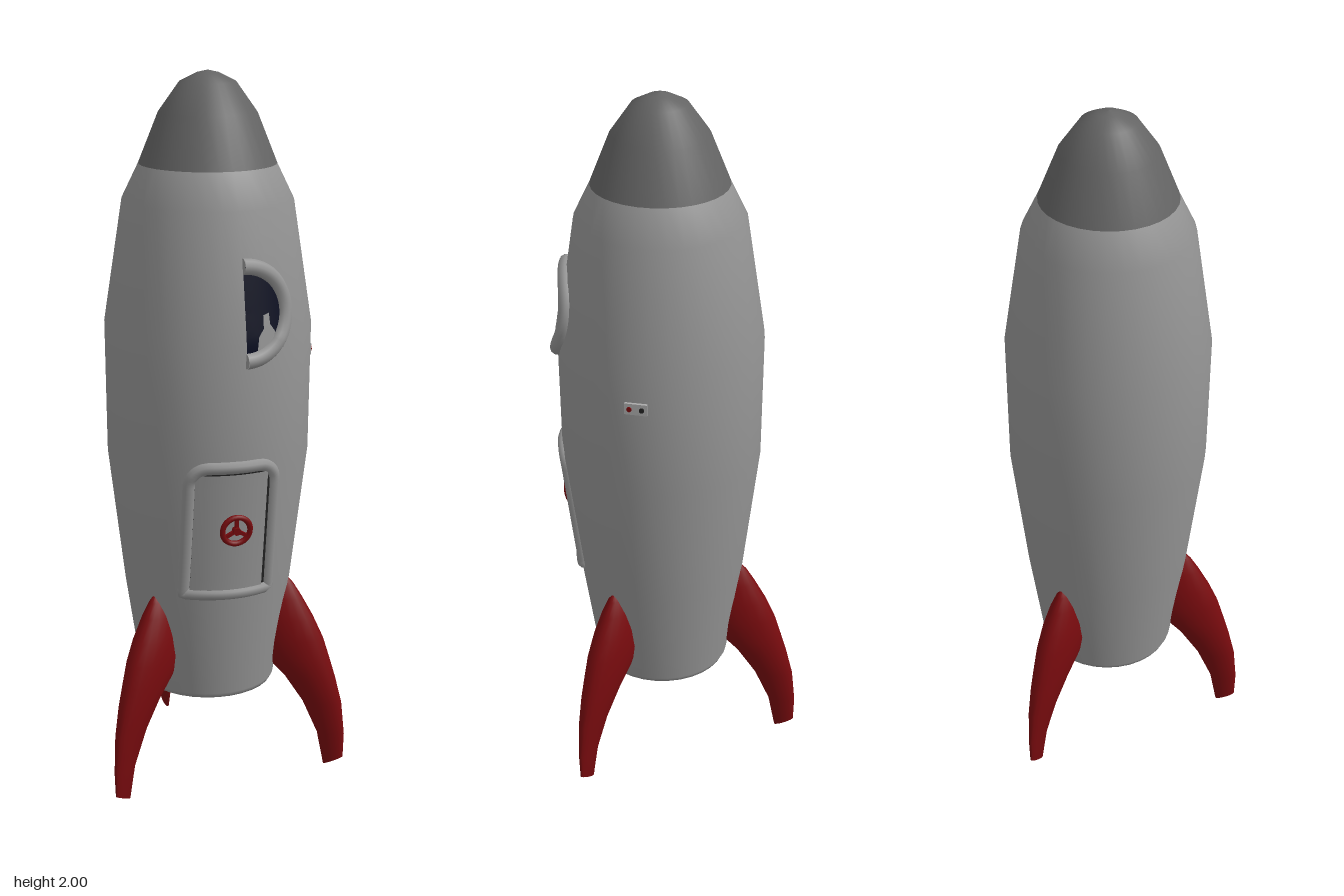
import * as THREE from 'three';

const AXIS_Z = 0.05; // the hull axis sits slightly forward of the origin
const HULL = [[0.192, 0.285], [0.236, 0.58], [0.281, 0.96], [0.285, 1.32], [0.233, 1.66], [0.187, 1.755]];

const mat = (color, side = THREE.FrontSide) => new THREE.MeshStandardMaterial({ color, side });
const grey = mat(0x959595);
const greyThin = mat(0x959595, THREE.DoubleSide);
const lightGrey = mat(0xaaaaaa);
const darkGrey = mat(0x646464);
const red = mat(0x780b0e);
const redThin = mat(0x780b0e, THREE.DoubleSide);
const navy = mat(0x070b20, THREE.DoubleSide);
const black = mat(0x222222, THREE.DoubleSide);

function add(parent, name, geometry, material) {
  const mesh = new THREE.Mesh(geometry, material);
  mesh.name = name;
  parent.add(mesh);
  return mesh;
}

// Hull radius at a height, linear between the profile points
function hullRadius(y) {
  const i = Math.max(1, HULL.findIndex(p => y <= p[1]));
  const [r0, y0] = HULL[i - 1], [r1, y1] = HULL[i];
  return r0 + (r1 - r0) * (y - y0) / (y1 - y0);
}

// Point on the front of the hull, raised by off
function onHull(x, y, off) {
  const r = hullRadius(y) + off;
  return new THREE.Vector3(x, y, AXIS_Z + Math.sqrt(r * r - x * x));
}

// Wraps a flat geometry around the hull
function wrap(geometry, cx, cy, off) {
  const p = geometry.attributes.position;
  for (let i = 0; i < p.count; i++) {
    const v = onHull(p.getX(i) + cx, p.getY(i) + cy, off);
    p.setXYZ(i, v.x, v.y, v.z);
  }
  geometry.computeVertexNormals();
  return geometry;
}

function lathe(points) {
  const g = new THREE.LatheGeometry(points.map(([r, y]) => new THREE.Vector2(r, y)), 32);
  return g.translate(0, 0, AXIS_Z);
}

// Curved fin from elliptical sections: [y, inner radius, outer radius, half width]
function finGeometry() {
  const rows = [
    [0, 0.345, 0.402, 0.009], [0.1, 0.325, 0.404, 0.017], [0.2, 0.28, 0.394, 0.03],
    [0.28, 0.225, 0.374, 0.042], [0.34, 0.165, 0.356, 0.049], [0.4, 0.13, 0.337, 0.053],
    [0.46, 0.13, 0.309, 0.049], [0.52, 0.14, 0.275, 0.037], [0.56, 0.16, 0.25, 0.022], [0.58, 0.2, 0.232, 0.006],
  ];
  const n = 20, pos = [], idx = [];
  rows.forEach(([y, inner, outer, w], k) => {
    const c = (inner + outer) / 2, a = (outer - inner) / 2;
    for (let j = 0; j < n; j++) {
      const t = j / n * Math.PI * 2;
      const tilt = k === 0 ? 0.013 * (1 + Math.cos(t)) : 0;
      pos.push(w * Math.sin(t), y + tilt, c + a * Math.cos(t));
      const j2 = (j + 1) % n;
      if (k > 0) {
        const b0 = (k - 1) * n + j, b1 = (k - 1) * n + j2, t0 = k * n + j, t1 = k * n + j2;
        idx.push(b0, b1, t1, b0, t1, t0);
      }
    }
  });
  // Close the foot and the tip
  const top = (rows.length - 1) * n;
  for (let j = 1; j < n - 1; j++) idx.push(0, j + 1, j, top, top + j, top + j + 1);
  const g = new THREE.BufferGeometry();
  g.setAttribute('position', new THREE.Float32BufferAttribute(pos, 3));
  g.setIndex(idx);
  g.computeVertexNormals();
  return g;
}

function createWindow() {
  const group = new THREE.Group();
  group.name = 'window';
  const cy = 1.395, radius = 0.123, tube = 0.022;
  add(group, 'windowPane', wrap(new THREE.RingGeometry(0.001, radius, 20, 6, -Math.PI / 2, Math.PI), 0, cy, 0.003), navy);
  // Half round frame
  const pts = [];
  for (let i = 0; i <= 24; i++) {
    const a = -Math.PI / 2 + Math.PI * i / 24;
    pts.push(onHull(radius * Math.cos(a), cy + radius * Math.sin(a), 0));
  }
  add(group, 'windowFrame', new THREE.TubeGeometry(new THREE.CatmullRomCurve3(pts), 40, tube, 10), grey);
  for (const end of [pts[0], pts[24]]) {
    const cap = add(group, 'windowFrameEnd', new THREE.CircleGeometry(tube, 10), greyThin);
    cap.position.copy(end);
    cap.rotation.y = -Math.PI / 2;
  }
  // Pale glint in the lower part of the pane
  const glint = new THREE.Shape([[0.03, -0.1], [0.075, -0.085], [0.085, -0.05], [0.07, -0.03], [0.068, 0], [0.05, -0.005],
    [0.05, -0.04], [0.035, -0.06]].map(([x, y]) => new THREE.Vector2(x, y)));
  add(group, 'windowGlint', wrap(new THREE.ShapeGeometry(glint), 0, cy, 0.007), greyThin);
  return group;
}

function createDoor() {
  const group = new THREE.Group();
  group.name = 'door';
  const cx = -0.025, x0 = cx - 0.117, x1 = cx + 0.117, y0 = 0.606, y1 = 0.981, r = 0.05;
  // Frame outline with rounded top corners
  const outline = new THREE.Path();
  outline.moveTo(x0, y0).lineTo(x1, y0).lineTo(x1, y1 - r);
  outline.absarc(x1 - r, y1 - r, r, 0, Math.PI / 2);
  outline.lineTo(x0 + r, y1);
  outline.absarc(x0 + r, y1 - r, r, Math.PI / 2, Math.PI);
  outline.lineTo(x0, y0);
  const pts = outline.getSpacedPoints(90).slice(0, -1).map(p => onHull(p.x, p.y, -0.004));
  add(group, 'doorFrame', new THREE.TubeGeometry(new THREE.CatmullRomCurve3(pts, true), 140, 0.018, 8, true), grey);
  // Panel with a dark seam showing along the top and one side
  add(group, 'doorSeam', wrap(new THREE.PlaneGeometry(0.21, 0.36, 8, 8), cx, 0.794, 0.002), black);
  add(group, 'doorPanel', wrap(new THREE.PlaneGeometry(0.2, 0.355, 8, 8), cx - 0.006, 0.784, 0.005), greyThin);

  // Three-spoke hand wheel
  const wheel = new THREE.Group();
  wheel.name = 'doorWheel';
  add(wheel, 'wheelRim', new THREE.TorusGeometry(0.039, 0.008, 8, 28), red);
  const hub = add(wheel, 'wheelHub', new THREE.CylinderGeometry(0.011, 0.011, 0.02, 14), red);
  hub.rotation.x = Math.PI / 2;
  for (let i = 0; i < 3; i++) {
    const spoke = add(wheel, 'wheelSpoke', new THREE.BoxGeometry(0.01, 0.038, 0.008).translate(0, 0.019, 0), red);
    spoke.rotation.z = i * Math.PI * 2 / 3;
  }
  wheel.position.copy(onHull(-0.02, 0.8, 0.011));
  wheel.rotation.set(0.12, -0.07, 0);
  group.add(wheel);
  return group;
}

function createControlPlate() {
  const group = new THREE.Group();
  group.name = 'controlPlate';
  add(group, 'plate', new THREE.BoxGeometry(0.062, 0.032, 0.016), lightGrey);
  [[-0.017, red], [0.017, black]].forEach(([x, material]) => {
    const button = add(group, 'button', new THREE.CylinderGeometry(0.007, 0.007, 0.012, 12), material);
    button.rotation.x = Math.PI / 2;
    button.position.set(x, 0, 0.006);
  });
  const a = 0.115;
  group.position.set(0.283 * Math.cos(a), 1.228, AXIS_Z + 0.283 * Math.sin(a));
  group.rotation.y = Math.PI / 2 - a;
  return group;
}

export function createModel() {
  const model = new THREE.Group();
  model.name = 'rocket';

  // Hull with rounded lower rim, and the hollow nozzle inside it
  add(model, 'hull', lathe([[0.168, 0.266], [0.185, 0.271], ...HULL]), grey);
  add(model, 'nozzle', lathe([[0, 0.47], [0.07, 0.455], [0.112, 0.4], [0.134, 0.33], [0.14, 0.29], [0.151, 0.271], [0.168, 0.266]]), grey);
  add(model, 'noseCone', lathe([[0.187, 1.755], [0.133, 1.89], [0.076, 1.97], [0.03, 1.993], [0, 2]]), darkGrey);

  // Three fins, one at the back and two towards the front
  const fin = finGeometry();
  for (let i = 0; i < 3; i++) {
    const mesh = add(model, 'fin', fin, redThin);
    mesh.position.z = AXIS_Z;
    mesh.rotation.y = Math.PI + i * Math.PI * 2 / 3;
  }

  model.add(createWindow(), createDoor(), createControlPlate());
  return model;
}
